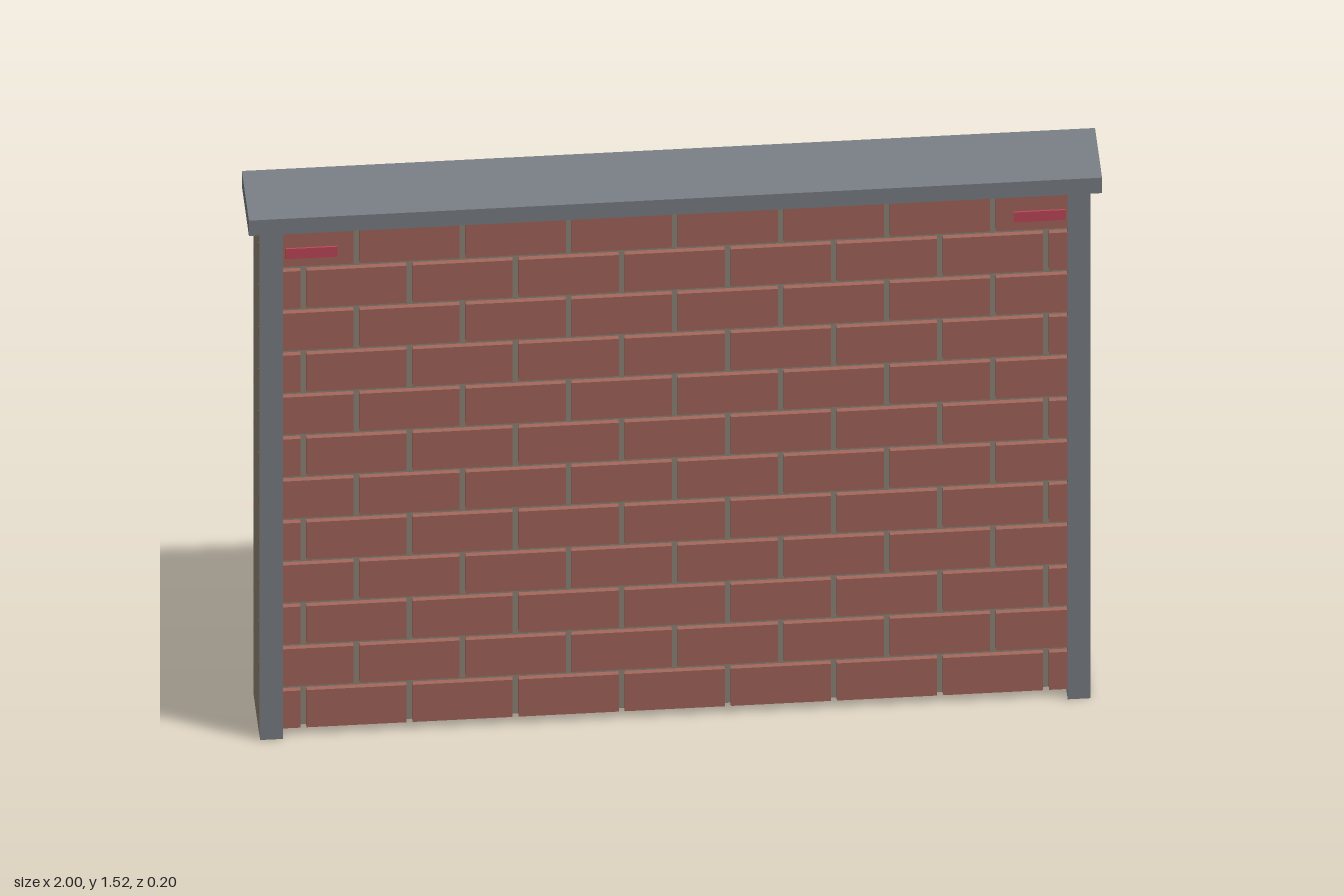
import * as THREE from 'three';

const mat = (color) => new THREE.MeshStandardMaterial({ color });

export function createModel() {
  const model = new THREE.Group();
  const stone = mat(0x7b8086);
  const brick = mat(0xa5675c);
  const mortar = mat(0x8e8678);
  const red = mat(0xc04858);

  // Box given by its lower and upper limits on each axis
  const box = (name, material, [x0, x1], [y0, y1], [z0, z1], parent = model) => {
    const mesh = new THREE.Mesh(new THREE.BoxGeometry(x1 - x0, y1 - y0, z1 - z0), material);
    mesh.position.set((x0 + x1) / 2, (y0 + y1) / 2, (z0 + z1) / 2);
    mesh.name = name;
    parent.add(mesh);
    return mesh;
  };

  const base = 0.022, top = 1.475, inner = 0.92, outer = 0.973;
  const midZ = -0.002;

  // Coping along the top and the mortar core
  box('coping', stone, [-1, 1], [top, 1.52], [-0.1, 0.095]);
  box('mortarCore', mortar, [-inner, inner], [base, top], [midZ - 0.066, midZ + 0.066]);

  // End posts with a mortar face on the outside, and the red tags
  for (const s of [-1, 1]) {
    const span = (a, b) => (s > 0 ? [a, b] : [-b, -a]);
    const side = s > 0 ? 'left' : 'right';
    box(side + 'Post', stone, span(inner, outer), [0, top], [midZ - 0.09, midZ + 0.09]);
    box(side + 'EndFace', mortar, span(outer - 0.01, outer + 0.001), [0.005, top], [midZ - 0.083, midZ + 0.083]);
    box(side + 'Tag', red, span(0.793, 0.914), [1.406, 1.435], [0.096, 0.1]);
  }

  // Running-bond brick courses on both faces
  const rows = 12, pitchY = 0.1222, pitchX = 0.2487, gap = 0.014;
  const courses = new THREE.Group();
  courses.name = 'brickCourses';
  model.add(courses);
  for (let r = 0; r < rows; r++) {
    const y0 = base + r * pitchY;
    const y1 = Math.min(y0 + pitchY - gap, top);
    const shift = r % 2 ? 0 : 0.5;
    for (const f of [-1, 1]) {
      const z = [midZ + f * 0.06, midZ + f * 0.079].sort((a, b) => a - b);
      for (let i = -5; i < 5; i++) {
        const x0 = Math.max((i + shift) * pitchX + gap / 2, -inner);
        const x1 = Math.min((i + 1 + shift) * pitchX - gap / 2, inner);
        if (x1 - x0 > 0.01) box('brick', brick, [x0, x1], [y0, y1], z, courses);
      }
      // Small brick ends showing on the end faces
      for (const s of [-1, 1]) {
        const x = s * (outer + 0.0005);
        box('brickEnd', brick, [x - 0.001, x + 0.001], [y0 + 0.04, y0 + 0.065],
          [midZ + f * 0.068 - 0.004, midZ + f * 0.068 + 0.004], courses);
      }
    }
  }
  return model;
}
